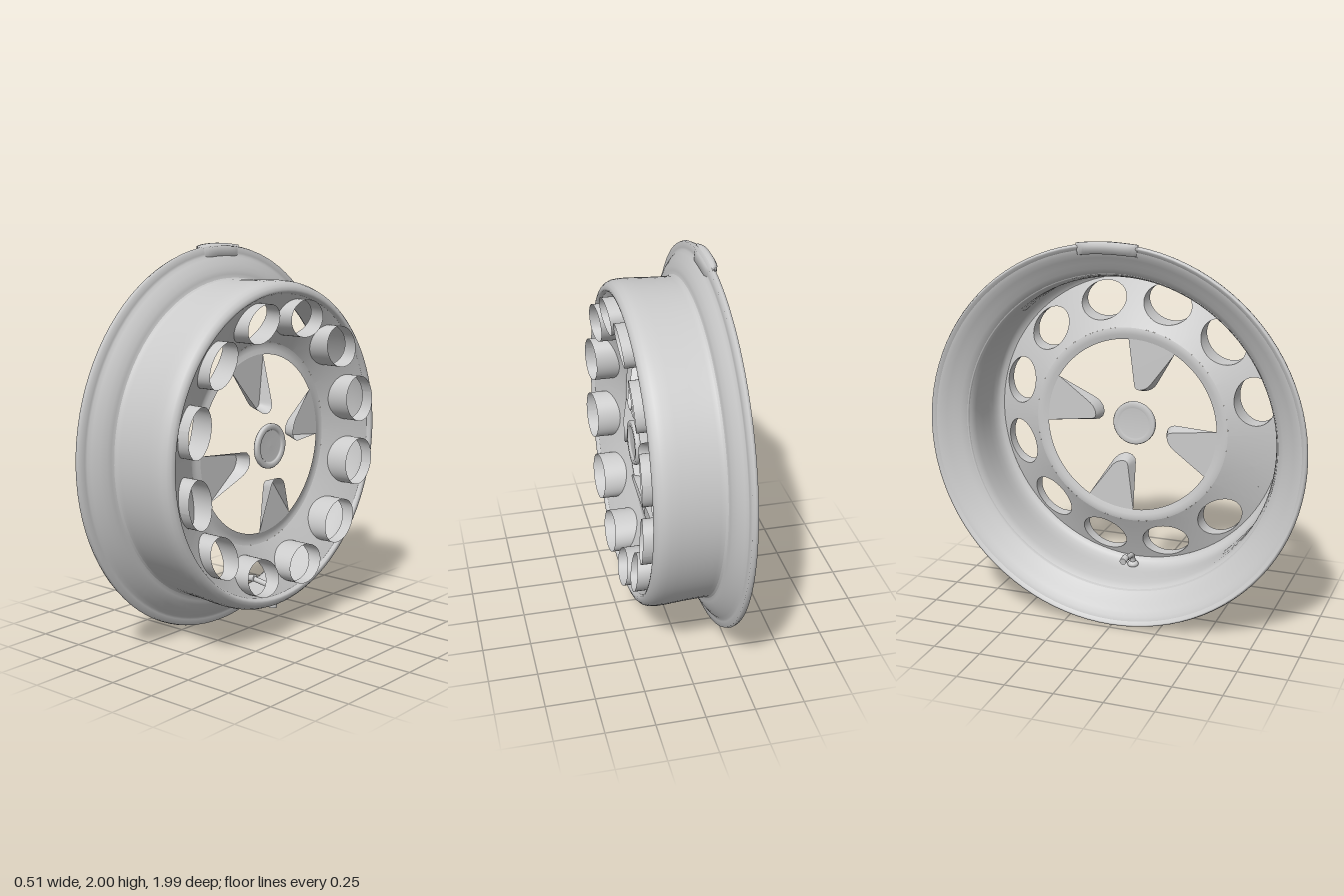
import * as THREE from 'three';

const mat = new THREE.MeshStandardMaterial({ color: 0xcccccc, side: THREE.DoubleSide });

function add(parent, name, geometry) {
  const m = new THREE.Mesh(geometry, mat);
  m.name = name;
  parent.add(m);
  return m;
}

// Surface of revolution about local z from [radius, z] pairs
function turned(points, segments = 96) {
  const pts = points.map(([r, z]) => new THREE.Vector2(r, z));
  return new THREE.LatheGeometry(pts, segments).rotateX(Math.PI / 2);
}

// Open grid surface from rows of points
function sheet(rows) {
  const pos = [], idx = [], n = rows[0].length;
  rows.forEach((row) => row.forEach((p) => pos.push(...p)));
  for (let j = 0; j < rows.length - 1; j++) {
    for (let i = 0; i < n - 1; i++) {
      const a = j * n + i, b = a + n;
      idx.push(a, a + 1, b, a + 1, b + 1, b);
    }
  }
  const g = new THREE.BufferGeometry();
  g.setAttribute('position', new THREE.Float32BufferAttribute(pos, 3));
  g.setIndex(idx);
  g.computeVertexNormals();
  return g;
}

const HOLE_R = 0.66, INNER_R = 0.52, OUTER_R = 0.77, SECTOR = Math.PI / 12;

// Height of the dished disc, rising toward the barrel shoulder
function discZ(r) {
  const t = (r - INNER_R) / (OUTER_R - INNER_R);
  return 0.075 + 0.12 * (1.1 * t - 0.1 * t * t);
}

const polar = (r, a, z) => [r * Math.cos(a), r * Math.sin(a), z];

// Oval outline around the hole centre, as [radius, angle]
const oval = (s, scale = 1) => [HOLE_R + 0.095 * scale * Math.cos(s), 0.19 * scale * Math.sin(s)];

const steps = Array.from({ length: 49 }, (_, i) => i / 48 * Math.PI * 2);

// One twelfth of the disc: rings running from the oval out to the sector border
function discSector(open) {
  return sheet([0, 0.2, 0.4, 0.6, 0.8, 1].map((t) => steps.map((s) => {
    const [r0, a0] = oval(s, open ? 1 : 0.01);
    const c = Math.cos(s), n = Math.sin(s), m = Math.max(Math.abs(c), Math.abs(n));
    const r1 = HOLE_R + c / m * (c < 0 ? HOLE_R - INNER_R : OUTER_R - HOLE_R);
    const r = THREE.MathUtils.lerp(r0, r1, t);
    return polar(r, THREE.MathUtils.lerp(a0, n / m * SECTOR, t), discZ(r));
  })));
}

export function createModel() {
  const model = new THREE.Group();
  model.name = 'wheelRim';

  // The wheel is built around local z, then turned so its face looks along +x
  const wheel = new THREE.Group();
  wheel.name = 'wheel';
  wheel.rotation.y = Math.PI / 2;
  wheel.position.y = 0.997;
  model.add(wheel);

  // Outer skin: rolled flange lip, convex bowl, barrel and rounded front shoulder
  add(wheel, 'outerSkin', turned([
    [0.965, -0.218], [0.98, -0.23], [0.988, -0.23], [0.994, -0.215], [0.99, -0.2],
    [0.96, -0.197], [0.948, -0.195], [0.935, -0.182], [0.9, -0.157], [0.87, -0.142],
    [0.85, -0.136], [0.83, -0.133], [0.825, -0.125], [0.824, -0.1], [0.828, 0], [0.834, 0.09],
    [0.835, 0.14], [0.831, 0.17], [0.822, 0.192], [0.807, 0.207], [0.79, 0.213], [0.779, 0.21], [OUTER_R, 0.195],
  ]));
  // Inner skin: smooth bowl running into the back of the disc
  add(wheel, 'innerSkin', turned([
    [0.965, -0.218], [0.945, -0.212], [0.92, -0.195], [0.89, -0.175], [0.86, -0.157],
    [0.835, -0.138], [0.817, -0.112], [0.808, -0.08], [0.807, 0], [0.81, 0.08], [0.81, 0.13],
    [0.803, 0.165], [0.79, 0.185], [OUTER_R, 0.195],
  ]));

  // Dished disc with oval openings (one stays closed) and slanted collars
  const collarGeometry = sheet([0, 0.5, 1].map((t) => steps.map((s) => {
    const [r, a] = oval(s);
    return polar(r, a, THREE.MathUtils.lerp(discZ(r), 0.237 + 0.015 * Math.cos(s), t));
  })));
  for (let k = 0; k < 12; k++) {
    const angle = SECTOR * (1 + 2 * k);
    add(wheel, 'discSector', discSector(k !== 6)).rotation.z = angle;
    add(wheel, 'collar', collarGeometry).rotation.z = angle;
  }
  add(wheel, 'discInnerRing', turned([[INNER_R, 0.075], [0.505, 0.071], [0.485, 0.073], [0.46, 0.08]]));

  // Four pointed spokes with edges turned forward, growing toward the tip
  const faceZ = 0.08;
  const start = Math.atan2(0.46, 0.013), end = Math.atan2(0.395, -0.23);
  const edge = new THREE.Path()
    .moveTo(-0.23, 0.395).lineTo(-0.11, 0.235)
    .quadraticCurveTo(-0.085, 0.2, -0.05, 0.195)
    .quadraticCurveTo(-0.02, 0.19, -0.017, 0.22)
    .lineTo(0.013, 0.46);
  const edgePts = edge.getSpacedPoints(40);
  const face = new THREE.Shape(edgePts.slice());
  face.absarc(0, 0, 0.463, start, end, false);
  const edgeRows = [0, 1].map((t) => edgePts.map((p, i) => {
    const prev = edgePts[Math.max(i - 1, 0)], next = edgePts[Math.min(i + 1, 40)];
    const d = next.clone().sub(prev).normalize();
    const k = THREE.MathUtils.clamp((0.46 - p.length()) / 0.25, 0, 1);
    return [p.x + d.y * 0.022 * k * t, p.y - d.x * 0.022 * k * t, faceZ + t * 0.07 * k];
  }));
  for (let i = 0; i < 4; i++) {
    const spoke = new THREE.Group();
    spoke.name = 'spoke';
    spoke.rotation.z = i * Math.PI / 2;
    wheel.add(spoke);
    add(spoke, 'spokeFace', new THREE.ShapeGeometry(face, 16).translate(0, 0, faceZ));
    add(spoke, 'spokeEdge', sheet(edgeRows));
  }

  // Thin hub cap with raised ring
  add(wheel, 'hubCap', turned([
    [0, 0.128], [0.08, 0.128], [0.085, 0.122], [0.11, 0.122], [0.115, 0.128], [0.115, 0.143],
    [0.11, 0.15], [0.09, 0.15], [0.084, 0.143], [0.08, 0.138], [0, 0.14],
  ], 48));

  // Balance weight clipped over the top of the flange lip
  const weightRows = [[0.94, -0.205], [0.945, -0.252], [0.985, -0.256], [1.003, -0.245], [1.003, -0.23],
    [0.992, -0.215], [0.987, -0.192], [0.94, -0.184], [0.94, -0.205]]
    .map(([r, z]) => Array.from({ length: 17 }, (_, i) => {
      const t = i / 8 - 1;
      const bulge = 1 - 0.75 * t ** 4;
      return polar(r, Math.PI / 2 - 0.017 - t * 0.16, -0.213 + (z + 0.213) * bulge);
    }));
  add(wheel, 'balanceWeight', sheet(weightRows));

  // Valve: outer stub, inner seat and bent stem
  const valve = new THREE.Group();
  valve.name = 'valve';
  valve.position.set(0.012, -0.825, 0.15);
  wheel.add(valve);
  add(valve, 'valveStub', new THREE.CylinderGeometry(0.024, 0.022, 0.044, 20)).position.y = -0.003;
  const seat = add(valve, 'valveSeat', new THREE.SphereGeometry(0.03, 20, 12));
  seat.position.y = 0.025;
  seat.scale.y = 0.7;
  const bend = new THREE.CurvePath();
  const v = (y, z) => new THREE.Vector3(0, y, z);
  bend.add(new THREE.LineCurve3(v(0.02, 0), v(0.055, -0.005)));
  bend.add(new THREE.QuadraticBezierCurve3(v(0.055, -0.005), v(0.085, -0.01), v(0.088, -0.04)));
  bend.add(new THREE.LineCurve3(v(0.088, -0.04), v(0.105, -0.15)));
  add(valve, 'valveStem', new THREE.TubeGeometry(bend, 30, 0.014, 14));
  const cap = add(valve, 'valveCap', new THREE.CylinderGeometry(0.018, 0.018, 0.045, 18));
  cap.rotation.x = Math.PI / 2 - 0.15;
  cap.position.set(0, 0.103, -0.14);

  return model;
}
